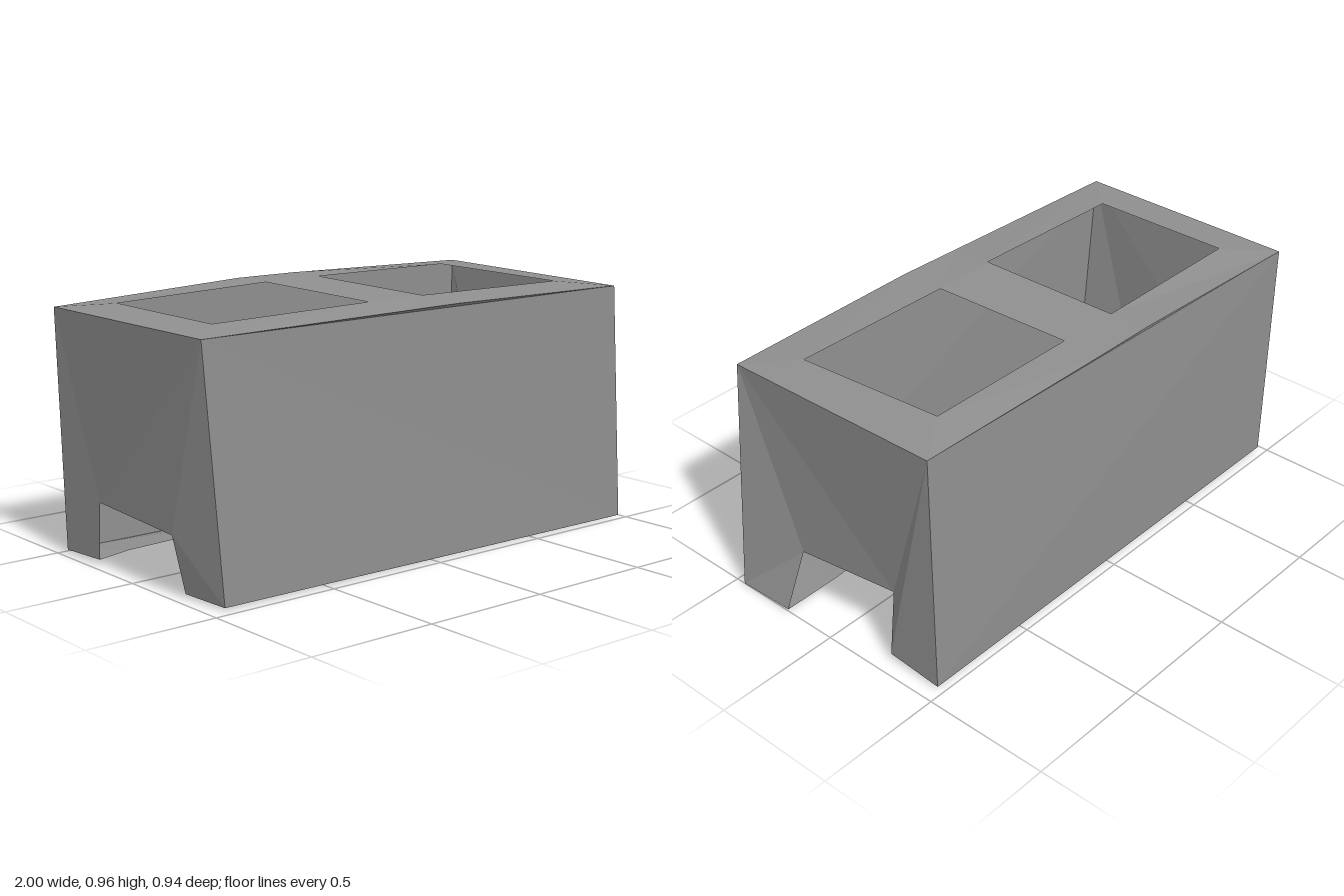
import * as THREE from 'three';

const concrete = new THREE.MeshStandardMaterial({ color: 0x909090, flatShading: true, side: THREE.DoubleSide });
concrete.name = 'concrete grey';

// Mesh of convex polygons, each turned to face the given direction
function facets(name, direction, polygons) {
  const facing = new THREE.Vector3(...direction);
  const positions = [];
  for (const polygon of polygons) {
    const p = polygon.map((c) => new THREE.Vector3(...c));
    for (let i = 1; i < p.length - 1; i++) {
      const tri = [p[0], p[i], p[i + 1]];
      const n = tri[1].clone().sub(tri[0]).cross(tri[2].clone().sub(tri[0]));
      if (n.dot(facing) < 0) tri.reverse();
      tri.forEach((v) => positions.push(v.x, v.y, v.z));
    }
  }
  const geometry = new THREE.BufferGeometry();
  geometry.setAttribute('position', new THREE.Float32BufferAttribute(positions, 3));
  geometry.computeVertexNormals();
  const mesh = new THREE.Mesh(geometry, concrete);
  mesh.name = name;
  return mesh;
}

// Quads between two rows of points
function strip(a, b) {
  return a.slice(1).map((p, i) => [a[i], p, b[i + 1], b[i]]);
}

export function createModel() {
  const block = new THREE.Group();
  block.name = 'concreteBlock';

  // Rows run from -x to +x
  const front = {
    topOuter: [[-1, 0.917, 0.44], [-0.17, 0.928, 0.455], [0.1, 0.935, 0.467], [0.925, 0.928, 0.47]],
    topInner: [[-0.84, 0.932, 0.275], [-0.165, 0.945, 0.285], [0.1, 0.945, 0.28], [0.765, 0.943, 0.3]],
    lowOuter: [[-0.935, 0.01, 0.46], [-0.84, 0.01, 0.46], [-0.06, 0.005, 0.46], [0.19, 0.004, 0.46], [0.76, 0.001, 0.46], [1, 0, 0.46]],
    lowInner: [[-0.955, 0.015, 0.26], [-0.84, 0.02, 0.25], [-0.06, 0.028, 0.235], [0.19, 0.028, 0.25], [0.76, 0.02, 0.21], [1, 0.008, 0.22]],
    notch: [[-0.985, 0.22, 0.23], [0.91, 0.225, 0.215]],
  };
  const back = {
    topOuter: [[-1, 0.921, -0.47], [-0.18, 0.957, -0.47], [0.09, 0.957, -0.468], [0.92, 0.945, -0.44]],
    topInner: [[-0.84, 0.938, -0.3], [-0.165, 0.955, -0.315], [0.09, 0.957, -0.31], [0.725, 0.956, -0.3]],
    lowOuter: [[-0.975, 0.015, -0.47], [-0.84, 0.014, -0.47], [-0.06, 0.01, -0.47], [0.17, 0.009, -0.47], [0.74, 0.006, -0.47], [0.935, 0.005, -0.47]],
    lowInner: [[-0.965, 0.02, -0.265], [-0.84, 0.035, -0.26], [-0.06, 0.045, -0.28], [0.17, 0.045, -0.265], [0.74, 0.035, -0.28], [0.935, 0.025, -0.245]],
    notch: [[-0.97, 0.237, -0.245], [0.885, 0.262, -0.22]],
  };

  // Long side walls, rims and undersides of the hollow shell
  for (const [side, r, s] of [['front', front, 1], ['back', back, -1]]) {
    const [a, b, c, d] = r.topOuter;
    block.add(facets(side + 'Wall', [0, 0, s], [[a, d, r.lowOuter[5], r.lowOuter[0]]]));
    block.add(facets(side + 'WallCrown', [0, 0.3, s], [[a, b, c, d]]));
    block.add(facets(side + 'Underside', [0, -1, 0], strip(r.lowOuter, r.lowInner)));
    block.add(facets(side + 'Rim', [0, 1, 0], strip(r.topOuter, r.topInner)));
  }

  // End walls with a notch between two legs
  const ends = [
    { name: 'right', s: -1, top: 0, low: 0, notch: 0 },
    { name: 'left', s: 1, top: 3, low: 5, notch: 1 },
  ];
  for (const { name, s, top, low, notch } of ends) {
    block.add(facets(name + 'EndWall', [s, 0, 0], [
      [front.topOuter[top], back.topOuter[top], back.notch[notch], front.notch[notch]],
      [front.notch[notch], front.lowInner[low], front.lowOuter[low], front.topOuter[top]],
      [back.topOuter[top], back.notch[notch], back.lowInner[low], back.lowOuter[low]],
    ]));
    block.add(facets(name + 'EndRim', [0, 1, 0],
      [[front.topOuter[top], back.topOuter[top], back.topInner[top], front.topInner[top]]]));
  }

  // Middle web: open between an upper and a lower strip
  block.add(facets('webTop', [0, 1, 0],
    strip(front.topInner.slice(1, 3), back.topInner.slice(1, 3))));
  block.add(facets('webBottom', [0, -1, 0],
    strip(front.lowInner.slice(2, 4), back.lowInner.slice(2, 4))));

  return block;
}
